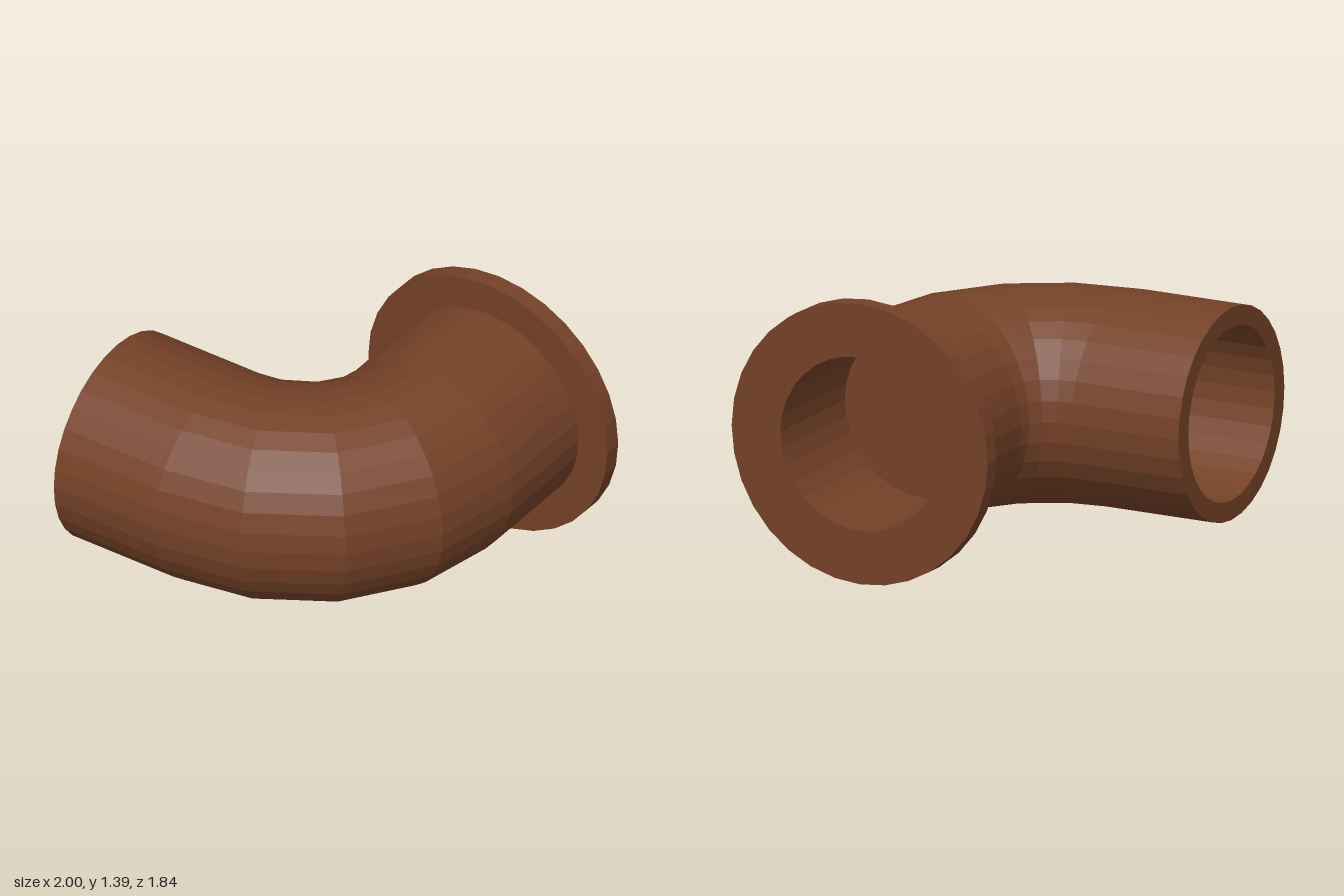
import * as THREE from 'three';

const SIDES = 32;
const AXIS_Y = 0.695;
const PIPE_R = 0.527, BORE_R = 0.43, FLANGE_R = 0.695;
const BEND_X = -0.42, BEND_Z = -0.28; // centre of the bend
const BEND_A = 0.725, BEND_B = 0.668; // centre line radii along x and z

// A ring on the centre line: turn in degrees (0 = runs along x, 90 = runs along -z)
const ring = (x, z, turn, r) => ({ x, z, t: THREE.MathUtils.degToRad(turn), r });
const alongX = (x, r) => ring(x, BEND_Z + BEND_B, 0, r);
const alongZ = (z, r) => ring(BEND_X + BEND_A, z, 90, r);
const onBend = (turn, r) => {
  const t = THREE.MathUtils.degToRad(turn);
  return ring(BEND_X + BEND_A * Math.sin(t), BEND_Z + BEND_B * Math.cos(t), turn, r);
};

// Faceted skin through consecutive rings
function loft(rings) {
  const pos = [];
  const point = ({ x, z, t, r }, j) => {
    const a = ((j % SIDES) / SIDES) * Math.PI * 2;
    const out = r * Math.cos(a);
    return [x + out * Math.sin(t), AXIS_Y + r * Math.sin(a), z + out * Math.cos(t)];
  };
  for (let i = 0; i < rings.length - 1; i++) {
    const p = rings[i], q = rings[i + 1];
    for (let j = 0; j < SIDES; j++) {
      const a = point(p, j), b = point(p, j + 1), c = point(q, j), d = point(q, j + 1);
      if (p.r > 0) pos.push(...a, ...c, ...b);
      if (q.r > 0) pos.push(...b, ...c, ...d);
    }
  }
  const geo = new THREE.BufferGeometry();
  geo.setAttribute('position', new THREE.Float32BufferAttribute(pos, 3));
  geo.computeVertexNormals();
  return geo;
}

export function createModel() {
  const group = new THREE.Group();
  group.name = 'pipeElbow';
  const rust = new THREE.MeshStandardMaterial({ color: 0x744127 });
  rust.name = 'rustyBrown';

  const add = (name, rings) => {
    const mesh = new THREE.Mesh(loft(rings), rust);
    mesh.name = name;
    group.add(mesh);
  };

  // Blind bore and rim of the plain end
  add('openEnd', [
    alongX(BEND_X, 0), alongX(BEND_X, BORE_R), alongX(-1, BORE_R), alongX(-1, PIPE_R),
  ]);

  // Outer wall: straight, four-segment bend, straight
  add('elbowPipe', [
    alongX(-1, PIPE_R),
    ...[0, 21, 44.5, 68, 90].map((turn) => onBend(turn, PIPE_R)),
    alongZ(-0.83, PIPE_R),
  ]);

  // Collar at the back
  add('flange', [
    alongZ(-0.83, PIPE_R), alongZ(-0.83, FLANGE_R), alongZ(-0.92, FLANGE_R), alongZ(-0.92, BORE_R),
  ]);

  // Blind bore behind the collar
  add('flangeBore', [
    alongZ(-0.92, BORE_R), alongZ(BEND_Z, BORE_R), alongZ(BEND_Z, 0),
  ]);

  return group;
}
